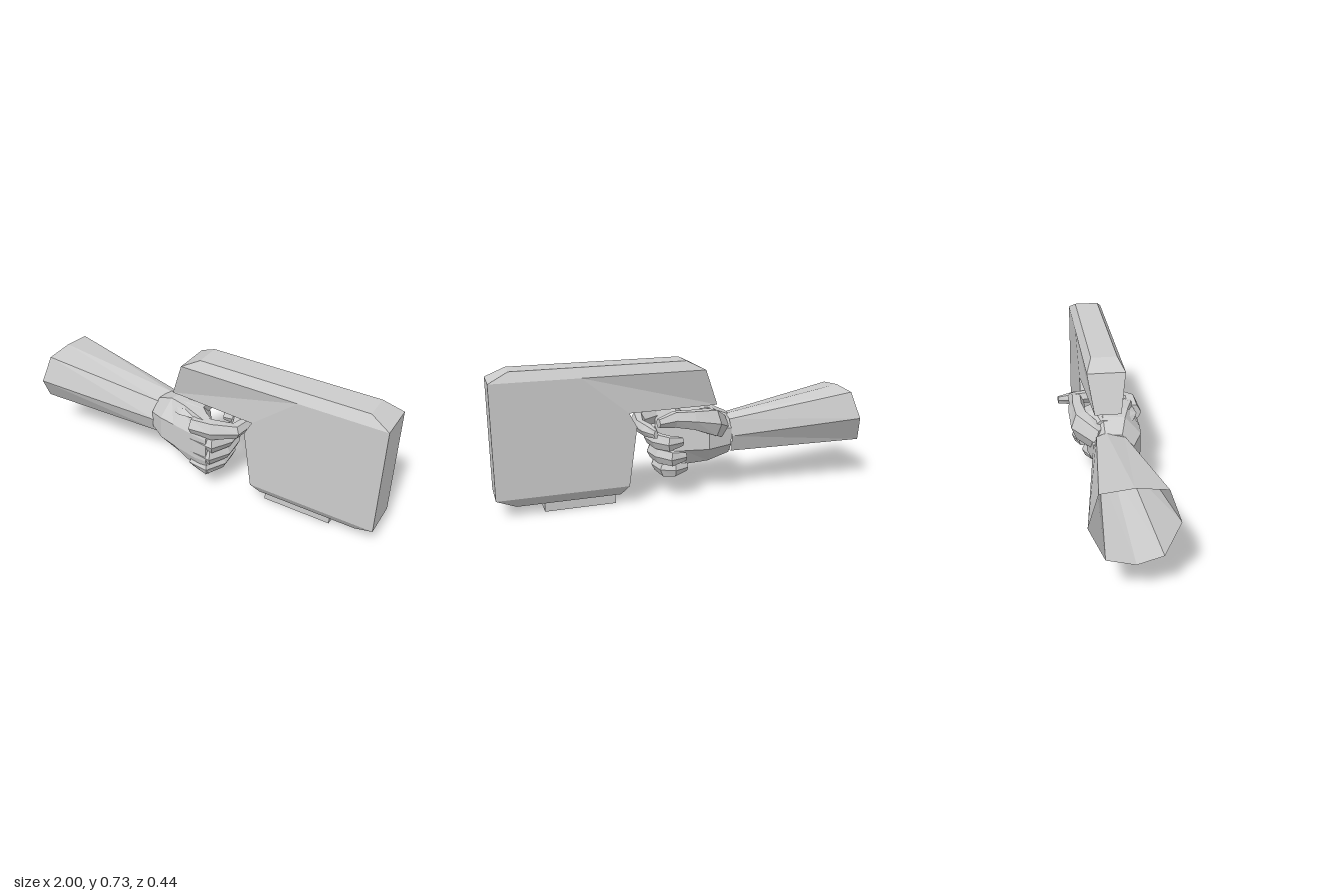
import * as THREE from 'three';

const material = new THREE.MeshStandardMaterial({ color: 0xcccccc, flatShading: true, side: THREE.DoubleSide });
const V = (x, y, z) => new THREE.Vector3(x, y, z);

// Skin a row of equal-length rings; caps: fan the ends, or use the given triangles
function loft(rings, caps = true) {
  const n = rings[0].length, pos = [];
  const tri = (...pts) => pts.forEach(p => pos.push(p.x, p.y, p.z));
  for (let i = 0; i < rings.length - 1; i++) {
    for (let j = 0; j < n; j++) {
      const k = (j + 1) % n;
      const a = rings[i][j], b = rings[i][k], c = rings[i + 1][k], d = rings[i + 1][j];
      tri(a, b, c);
      tri(a, c, d);
    }
  }
  if (caps) {
    const first = rings[0], last = rings[rings.length - 1];
    const faces = Array.isArray(caps) ? caps : Array.from({ length: n - 2 }, (_, i) => [0, i + 1, i + 2]);
    for (const [a, b, c] of faces) {
      tri(first[a], first[c], first[b]);
      tri(last[a], last[b], last[c]);
    }
  }
  const g = new THREE.BufferGeometry();
  g.setAttribute('position', new THREE.Float32BufferAttribute(pos, 3));
  g.computeVertexNormals();
  return g;
}

// Faceted limb along a path of [x, y, z, half height, half width]
function limb(path, sides = 6) {
  const pts = path.map(p => V(p[0], p[1], p[2]));
  return loft(path.map((p, i) => {
    const t = pts[Math.min(i + 1, pts.length - 1)].clone().sub(pts[Math.max(i - 1, 0)]);
    t.y = 0;
    t.normalize();
    const v = t.clone().cross(V(0, 1, 0));
    return Array.from({ length: sides }, (_, j) => {
      const a = (j + 0.5) / sides * Math.PI * 2;
      return pts[i].clone().addScaledVector(v, Math.sin(a) * p[4]).add(V(0, Math.cos(a) * p[3], 0));
    });
  }));
}

// Horizontal rectangle ring
const rect = (x0, x1, y, h, zc) =>
  [V(x0, y, zc + h), V(x1, y, zc + h), V(x1, y, zc - h), V(x0, y, zc - h)];

export function createModel() {
  const model = new THREE.Group();
  const add = (name, geometry, parent = model) => {
    const m = new THREE.Mesh(geometry, material);
    m.name = name;
    parent.add(m);
    return m;
  };

  // Body: thick L-shaped slab whose nose tapers to a thinner lower corner
  const zc = 0.008, full = 0.099, thin = 0.068;
  const outline = [[-0.16, 0.485, thin], [0.325, 0.485, full], [0.285, 0.41, full], [0.33, 0.1, full],
    [1, 0.1, full], [1, 0.68, full], [0.56, 0.68, full], [-0.085, 0.68, full]];
  const side = s => outline.map(([x, y, h]) => V(x, y, zc + s * h));
  const body = new THREE.Group();
  body.name = 'body';
  model.add(body);
  add('bodySlab', loft([side(-1), side(1)],
    [[0, 6, 7], [0, 1, 6], [5, 6, 1], [5, 1, 2], [5, 2, 3], [5, 3, 4]]), body);
  add('topBevel', loft([rect(-0.085, 1, 0.68, full, zc), rect(0.01, 0.9, 0.728, thin, zc)]), body);
  add('bottomBevel', loft([rect(0.37, 0.9, 0.05, thin, zc), rect(0.33, 1, 0.1, full, zc)]), body);

  // Small plate under the body
  const foot = add('basePlate', new THREE.BoxGeometry(0.365, 0.06, 0.104));
  foot.position.set(0.578, 0.03, 0.006);

  // Forearm: open tube, slanted at the elbow end, [y, z] per corner
  const elbow = [[0.525, 0.02], [0.51, 0.165], [0.37, 0.215], [0.23, 0.14],
    [0.2, 0.02], [0.23, -0.11], [0.37, -0.18], [0.51, -0.13]];
  const wrist = [[0.42, -0.01], [0.4, 0.08], [0.31, 0.13], [0.22, 0.1],
    [0.205, 0.02], [0.22, -0.05], [0.31, -0.08], [0.4, -0.06]];
  add('forearm', loft([
    elbow.map(([y, z]) => V(-1 + (y - 0.2) * 0.25, y, z)),
    wrist.map(([y, z]) => V(-0.25 + (y - 0.2) * 0.1, y, z)),
  ], false));

  // Hand: palm, four curled fingers and a thumb
  const hand = new THREE.Group();
  hand.name = 'hand';
  model.add(hand);
  add('palm', limb([
    [-0.25, 0.31, 0.025, 0.115, 0.11],
    [-0.14, 0.315, 0.04, 0.16, 0.15],
    [-0.04, 0.305, 0.08, 0.175, 0.125],
    [0.06, 0.285, 0.135, 0.185, 0.065],
    [0.12, 0.28, 0.15, 0.17, 0.045],
  ], 8), hand);

  // Index finger reaches forward, then crosses to the far side
  add('indexFinger', limb([
    [0.02, 0.4, 0.16, 0.05, 0.05],
    [0.13, 0.405, 0.16, 0.055, 0.045],
    [0.23, 0.4, 0.1, 0.04, 0.04],
    [0.255, 0.4, -0.03, 0.035, 0.03],
    [0.24, 0.4, -0.13, 0.035, 0.035],
    [0.225, 0.4, -0.22, 0.022, 0.012],
  ]), hand);

  // [name, height, reach in x, reach in -z]
  for (const [name, y, x, z] of [
    ['middleFinger', 0.315, 0.19, -0.15],
    ['ringFinger', 0.235, 0.175, -0.155],
    ['littleFinger', 0.16, 0.15, -0.1],
  ]) {
    add(name, limb([
      [0.02, y + 0.01, 0.14, 0.04, 0.05],
      [x - 0.06, y, 0.155, 0.05, 0.045],
      [x - 0.02, y - 0.01, 0.07, 0.04, 0.035],
      [x - 0.03, y - 0.005, -0.04, 0.045, 0.035],
      [x - 0.07, y, z + 0.03, 0.042, 0.035],
      [x - 0.14, y, z + 0.05, 0.025, 0.02],
    ]), hand);
  }

  add('thumb', limb([
    [-0.19, 0.36, -0.03, 0.07, 0.05],
    [-0.11, 0.41, -0.125, 0.08, 0.06],
    [0.0, 0.435, -0.135, 0.055, 0.045],
    [0.1, 0.445, -0.13, 0.045, 0.04],
    [0.19, 0.435, -0.145, 0.025, 0.025],
  ]), hand);

  // Web of skin between thumb and index finger
  add('thumbWeb', limb([
    [-0.16, 0.41, 0.02, 0.05, 0.1],
    [-0.06, 0.435, 0.02, 0.04, 0.15],
    [0.03, 0.435, 0.02, 0.03, 0.14],
  ]), hand);

  return model;
}
